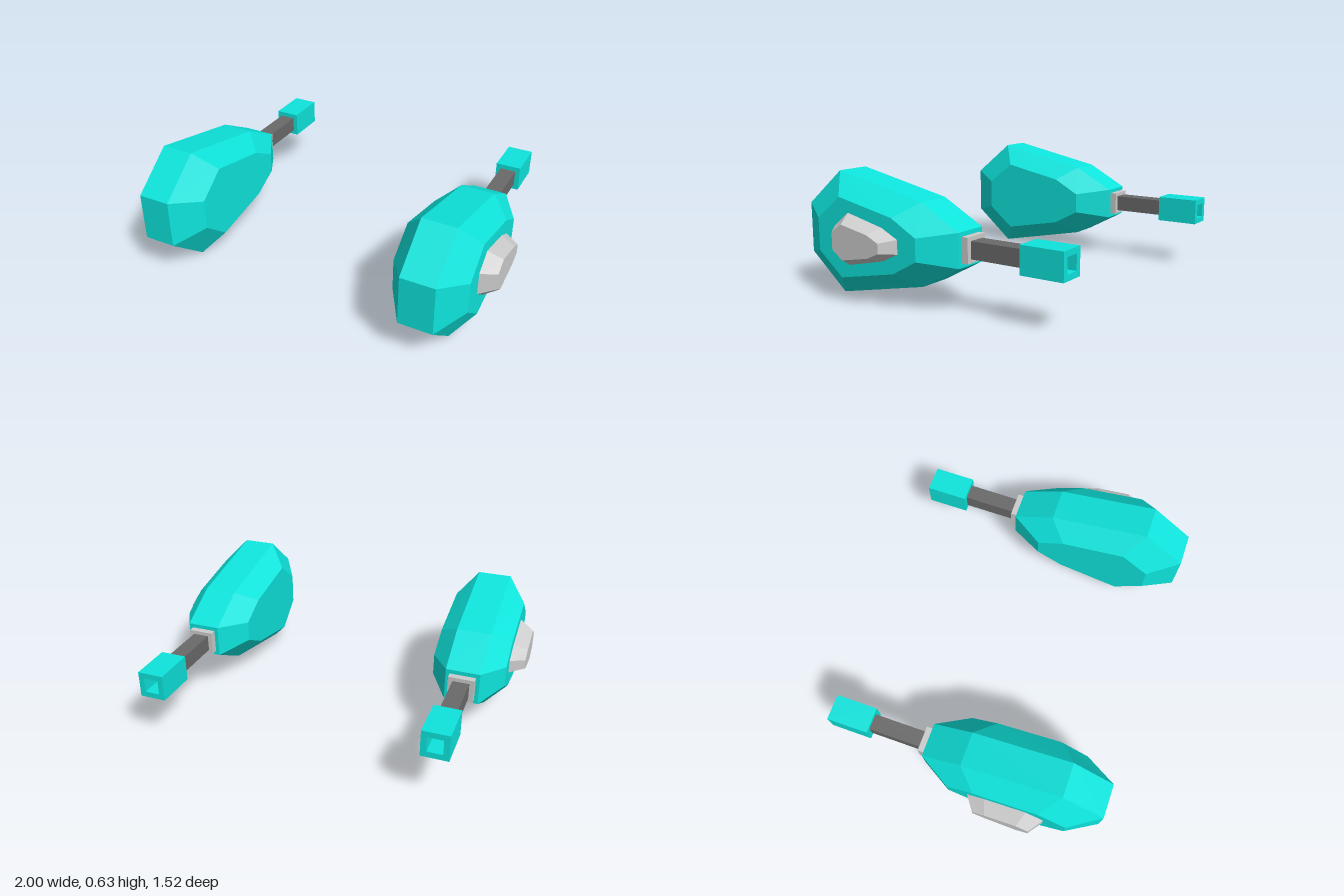
import * as THREE from 'three';

const material = (color) => new THREE.MeshStandardMaterial({ color, flatShading: true });
const teal = material(0x0ee4dc);
const grey = material(0xcccccc);
const dark = material(0x6a6a6a);

const CX = 0.735; // pod centre line
const CY = 0.317; // height of the axis

// Upper half of each side outline as [z, y], front to back; the lower half is its reflection
const outline = (upper) => [...upper, ...upper.map(([z, y]) => [z, 2 * CY - y]).reverse()];
const hullRim = outline([[0.76, 0.447], [0.535, 0.632], [0.005, 0.522], [-0.215, 0.402]]);
const hullSide = outline([[0.595, 0.4], [0.445, 0.52], [0.103, 0.452], [-0.042, 0.373]]);
const bossBase = outline([[0.482, 0.377], [0.387, 0.45], [0.163, 0.4], [0.065, 0.353]]);
const bossTop = outline([[0.423, 0.361], [0.358, 0.405], [0.19, 0.373], [0.122, 0.342]]);

// Faceted solid through side outlines stacked along x, with flat end caps
function loft(sections, side) {
  const rings = sections.map(([x, ring]) => {
    const pts = ring.map(([z, y]) => new THREE.Vector3(x * side, y, z));
    return side < 0 ? pts.reverse() : pts;
  });
  const pos = [];
  const tri = (...pts) => pts.forEach((p) => pos.push(p.x, p.y, p.z));
  const n = rings[0].length;
  for (let r = 0; r < rings.length - 1; r++) {
    const a = rings[r], b = rings[r + 1];
    for (let i = 0; i < n; i++) {
      const j = (i + 1) % n;
      tri(a[i], b[i], b[j]);
      tri(a[i], b[j], a[j]);
    }
  }
  const first = rings[0], last = rings[rings.length - 1];
  for (let i = 1; i < n - 1; i++) {
    tri(first[0], first[i], first[i + 1]);
    tri(last[0], last[i + 1], last[i]);
  }
  const geo = new THREE.BufferGeometry();
  geo.setAttribute('position', new THREE.Float32BufferAttribute(pos, 3));
  geo.computeVertexNormals();
  return geo;
}

// Box on the pod axis between two z positions
function axisBox(w, h, z0, z1) {
  return new THREE.BoxGeometry(w, h, z1 - z0).translate(0, CY, (z0 + z1) / 2);
}

// Square tube, open at both ends
function squareTube(size, hole, z0, z1) {
  const square = (Type, s) => new Type([[-s, -s], [s, -s], [s, s], [-s, s]]
    .map(([x, y]) => new THREE.Vector2(x, y)));
  const shape = square(THREE.Shape, size / 2);
  shape.holes.push(square(THREE.Path, hole / 2));
  return new THREE.ExtrudeGeometry(shape, { depth: z1 - z0, bevelEnabled: false })
    .translate(0, CY, z0);
}

function createPod(side) {
  const pod = new THREE.Group();
  pod.name = side > 0 ? 'leftPod' : 'rightPod';
  const add = (name, geo, mat, x = 0) => {
    const mesh = new THREE.Mesh(geo, mat);
    mesh.name = name;
    mesh.position.x = x;
    pod.add(mesh);
  };

  // Faceted hull and the raised boss on its outer side
  add('hull', loft([
    [CX - 0.19, hullSide], [CX - 0.088, hullRim],
    [CX + 0.088, hullRim], [CX + 0.19, hullSide],
  ], side), teal);
  add('sideBoss', loft([[CX + 0.185, bossBase], [1, bossTop]], side), grey);

  // Collar, shaft and hollow end piece pointing backwards
  add('collar', axisBox(0.134, 0.126, -0.25, -0.2), grey, CX * side);
  add('shaft', axisBox(0.086, 0.086, -0.55, -0.24), dark, CX * side);
  add('hollowTip', squareTube(0.138, 0.078, -0.76, -0.535), teal, CX * side);
  return pod;
}

export function createModel() {
  const model = new THREE.Group();
  model.name = 'podPair';
  for (const side of [1, -1]) model.add(createPod(side));
  return model;
}
